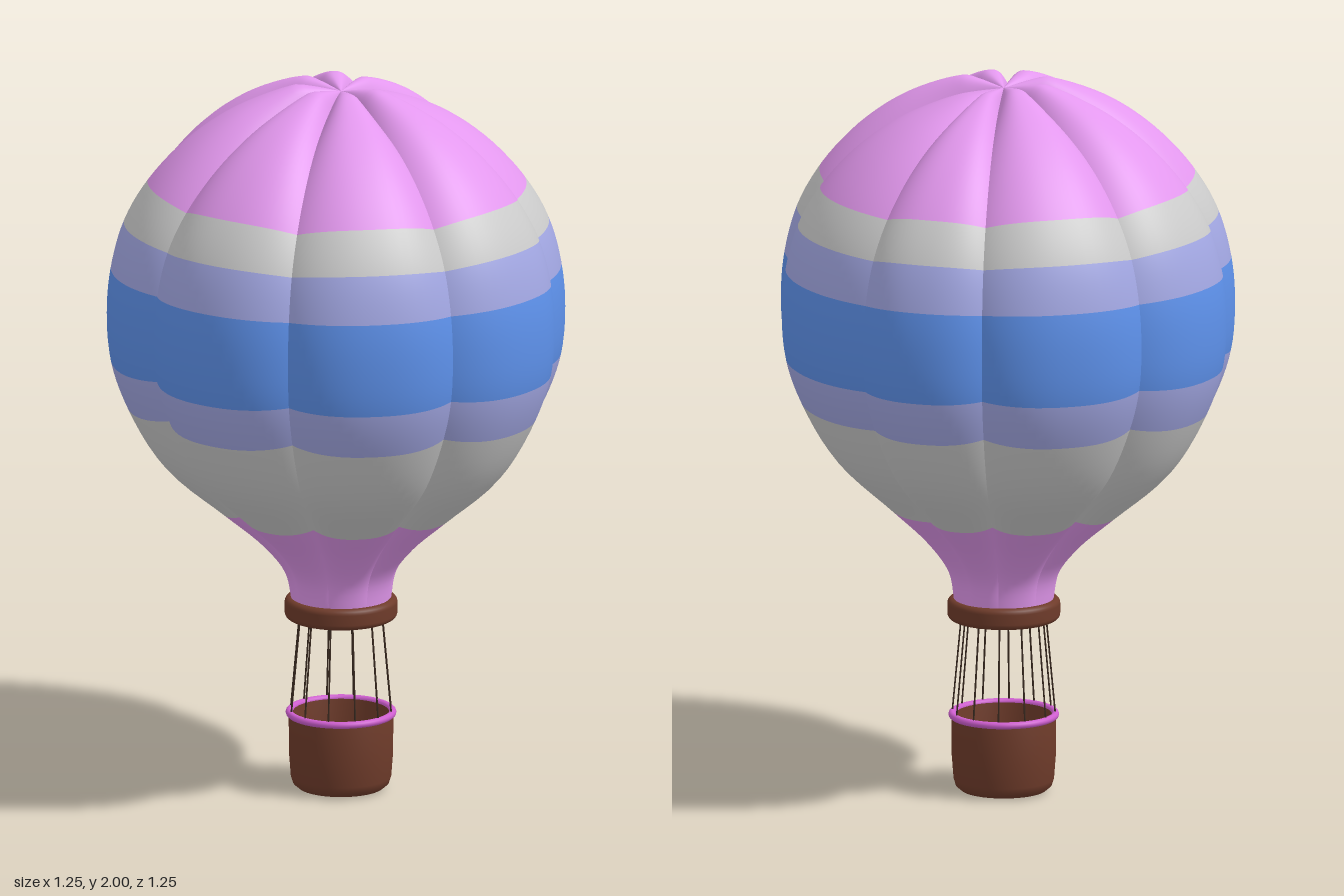
import * as THREE from 'three';

const mat = (color, side = THREE.FrontSide) =>
  new THREE.MeshStandardMaterial({ color, side, roughness: 0.8 });

// Seam profile [radius, height] from mouth to crown
const PROFILE = [
  [0.135, 0.53], [0.15, 0.62], [0.208, 0.71], [0.31, 0.815], [0.455, 0.96], [0.548, 1.12],
  [0.588, 1.237], [0.598, 1.36], [0.588, 1.48], [0.555, 1.6], [0.495, 1.705],
  [0.4, 1.81], [0.29, 1.89], [0.17, 1.943], [0.08, 1.967], [0, 1.982],
];
const ROWS = 5;   // rows between two profile points
const COLS = 24;  // columns across a gore

// Seam angles in degrees; the seam at 303 is off the regular spacing
const SEAMS = [0, 45, 90, 135, 180, 225, 270, 303, 360];
const seamScale = (deg) => (deg === 303 ? 1.03 : 1);
const puffScale = (deg) => (deg === 303 ? 0.3 : deg === 270 ? 0.75 : 1);

function goreGeometry(from, to, bands) {
  const curve = new THREE.CatmullRomCurve3(PROFILE.map(([r, y]) => new THREE.Vector3(r, y, 0)));
  const rows = (PROFILE.length - 1) * ROWS;
  const positions = [], index = [];
  for (let i = 0; i <= rows; i++) {
    const p = curve.getPoint(i / rows);
    const tangent = curve.getTangent(i / rows);
    // fabric puffs out along the profile normal, fading at mouth and crown
    const puff = 0.047 * puffScale(from) * THREE.MathUtils.smoothstep(p.y, 0.5, 1.05)
      * Math.min(1, Math.max(0, p.x) / 0.11);
    for (let j = 0; j <= COLS; j++) {
      // columns gather towards the seams
      const u = Math.sin((j / COLS - 0.5) * Math.PI);
      const t = (u + 1) / 2;
      const angle = THREE.MathUtils.degToRad(THREE.MathUtils.lerp(from, to, t));
      const bulge = puff * (1 - Math.abs(u) ** 2.6);
      const scale = THREE.MathUtils.lerp(seamScale(from), seamScale(to), t);
      const r = Math.max(0, p.x) * scale + tangent.y * bulge;
      positions.push(r * Math.cos(angle), p.y - tangent.x * bulge, r * Math.sin(angle));
      if (i < rows && j < COLS) {
        const a = i * (COLS + 1) + j, up = a + COLS + 1;
        index.push(a, up, a + 1, a + 1, up, up + 1);
      }
    }
  }
  const geo = new THREE.BufferGeometry();
  geo.setAttribute('position', new THREE.Float32BufferAttribute(positions, 3));
  geo.setIndex(index);
  geo.computeVertexNormals();
  // one material group per colour band
  const perStep = ROWS * COLS * 6;
  bands.forEach(([start, end, material]) =>
    geo.addGroup(start * perStep, (end - start) * perStep, material));
  return geo;
}

// Closed ring with a rounded rectangular section
function ringGeometry(inner, outer, bottom, top, radius) {
  const pts = [];
  const corners = [
    [outer - radius, bottom + radius, -90], [outer - radius, top - radius, 0],
    [inner + radius, top - radius, 90], [inner + radius, bottom + radius, 180],
  ];
  for (const [x, y, start] of corners) {
    for (let k = 0; k <= 5; k++) {
      const a = THREE.MathUtils.degToRad(start + k * 18);
      pts.push(new THREE.Vector2(x + radius * Math.cos(a), y + radius * Math.sin(a)));
    }
  }
  pts.push(pts[0].clone());
  return new THREE.LatheGeometry(pts, 64);
}

export function createModel() {
  const model = new THREE.Group();
  model.name = 'hotAirBalloon';
  const add = (name, geometry, material, parent = model) => {
    const mesh = new THREE.Mesh(geometry, material);
    mesh.name = name;
    parent.add(mesh);
    return mesh;
  };

  const brown = mat(0x6e3b2a, THREE.DoubleSide);
  const trim = mat(0xcf5fd0);
  const rope = mat(0x3a2a20);

  // Envelope: eight puffed gores with horizontal colour bands
  const fabrics = [0xe398ee, 0xcccccc, 0xa3a8e4, 0x5e92ec].map((c) => mat(c, THREE.DoubleSide));
  const bands = [[0, 3, 0], [3, 5, 1], [5, 6, 2], [6, 8, 3], [8, 9, 2], [9, 10, 1], [10, 15, 0]];
  const envelope = new THREE.Group();
  envelope.name = 'envelope';
  model.add(envelope);
  for (let i = 0; i < SEAMS.length - 1; i++) {
    add('gore' + (i + 1), goreGeometry(SEAMS[i], SEAMS[i + 1], bands), fabrics, envelope);
  }

  // Collar around the mouth
  add('collar', ringGeometry(0.118, 0.155, 0.485, 0.545, 0.016), brown);

  // Hollow basket with rounded bottom edge
  const basket = [
    [0, 0], [0.095, 0], [0.118, 0.004], [0.132, 0.016], [0.138, 0.035], [0.143, 0.1],
    [0.144, 0.215], [0.13, 0.215], [0.128, 0.1], [0.12, 0.03], [0.1, 0.018], [0, 0.018],
  ].map(([x, y]) => new THREE.Vector2(x, y));
  add('basket', new THREE.LatheGeometry(basket, 64), brown);

  // Padded rim
  const rim = add('basketRim', new THREE.TorusGeometry(0.142, 0.01, 12, 64), trim);
  rim.rotation.x = Math.PI / 2;
  rim.position.y = 0.215;

  // Twelve ropes leaning in from basket to collar
  const ropes = new THREE.Group();
  ropes.name = 'ropes';
  model.add(ropes);
  for (let i = 0; i < 12; i++) {
    const a = (i / 12) * Math.PI * 2;
    const at = (r, y) => new THREE.Vector3(r * Math.cos(a), y, r * Math.sin(a));
    const line = new THREE.LineCurve3(at(0.143, 0.21), at(0.115, 0.51));
    add('rope' + (i + 1), new THREE.TubeGeometry(line, 1, 0.0025, 6), rope, ropes);
  }
  return model;
}
